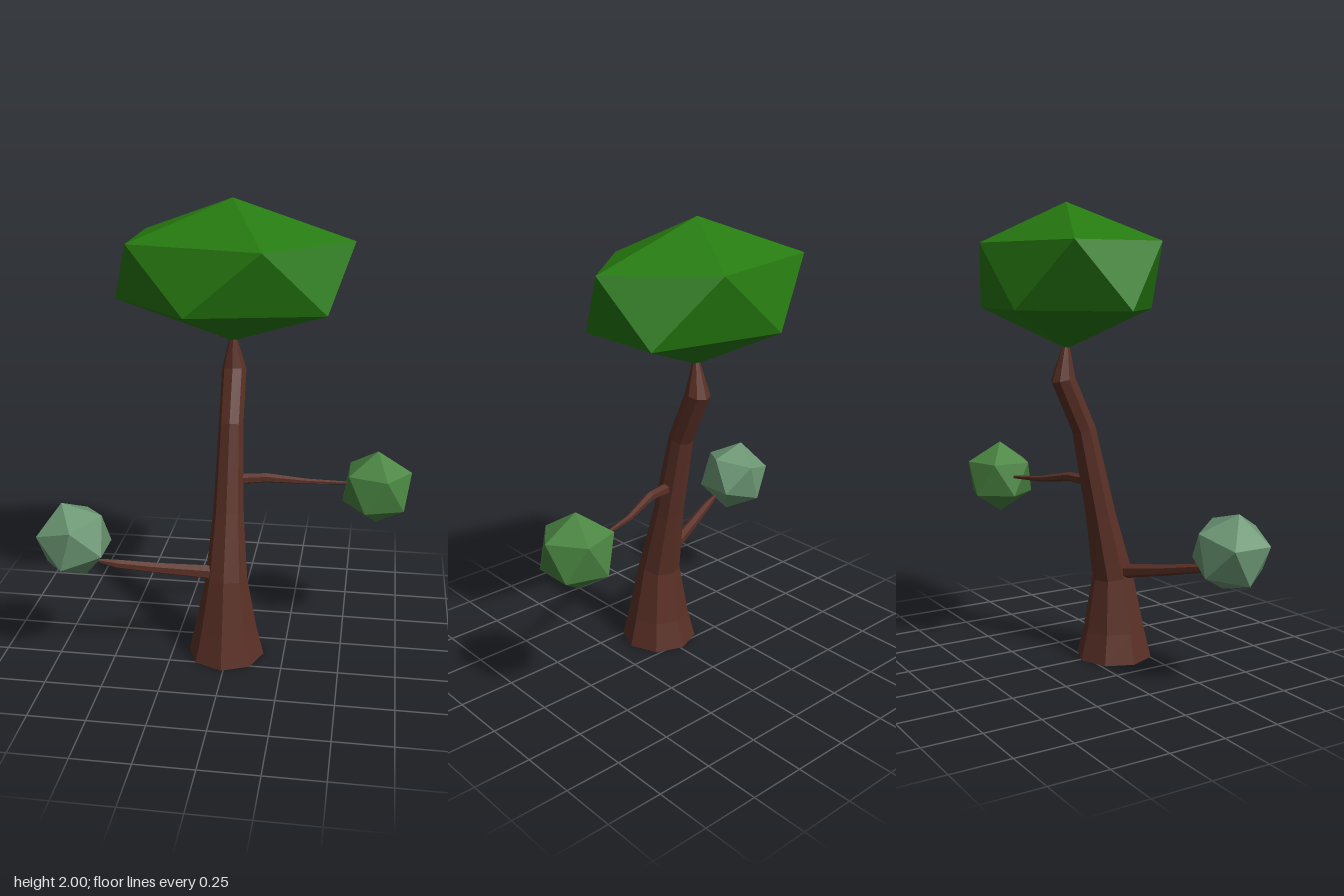
import * as THREE from 'three';

function material(name, color) {
  const m = new THREE.MeshStandardMaterial({ color, flatShading: true });
  m.name = name;
  return m;
}

// Tapering limb: polygon rings set square to a path of [x, y, z, radius], capped at both ends
function limbGeometry(path, sides, side) {
  const points = path.map(([x, y, z]) => new THREE.Vector3(x, y, z));
  const last = path.length - 1;
  const positions = [];
  const index = [];
  path.forEach(([, , , r], i) => {
    const t = points[Math.min(i + 1, last)].clone().sub(points[Math.max(i - 1, 0)]).normalize();
    const u = side.clone().addScaledVector(t, -side.dot(t)).normalize();
    const v = t.clone().cross(u);
    for (let k = 0; k < sides; k++) {
      const a = (k / sides) * Math.PI * 2;
      const p = points[i].clone().addScaledVector(u, r * Math.cos(a)).addScaledVector(v, r * Math.sin(a));
      positions.push(p.x, p.y, p.z);
    }
  });
  for (let i = 0; i < last; i++) {
    for (let k = 0; k < sides; k++) {
      const n = (k + 1) % sides;
      const a = i * sides + k, b = i * sides + n;
      index.push(a, b, b + sides, a, b + sides, a + sides);
    }
  }
  for (let k = 1; k < sides - 1; k++) {
    const e = last * sides;
    index.push(0, k + 1, k, e, e + k, e + k + 1);
  }
  const g = new THREE.BufferGeometry();
  g.setAttribute('position', new THREE.Float32BufferAttribute(positions, 3));
  g.setIndex(index);
  const flat = g.toNonIndexed();
  flat.computeVertexNormals();
  return flat;
}

// Icosahedron standing on a corner, with one upper corner towards +x
function foliageGeometry(sx, sy, sz) {
  const g = new THREE.IcosahedronGeometry(1, 0);
  g.rotateZ(-Math.atan(2 / (1 + Math.sqrt(5))));
  g.scale(sx, sy, sz);
  g.computeVertexNormals();
  return g;
}

export function createModel() {
  const tree = new THREE.Group();
  tree.name = 'tree';

  const bark = material('bark brown', 0x5a3026);
  const deepGreen = material('deep green', 0x267a10);
  const midGreen = material('mid green', 0x4a8541);
  const paleGreen = material('pale green', 0x6b9673);

  const add = (name, geometry, mat, x = 0, y = 0, z = 0) => {
    const mesh = new THREE.Mesh(geometry, mat);
    mesh.name = name;
    mesh.position.set(x, y, z);
    tree.add(mesh);
    return mesh;
  };

  // Leaning eight-sided trunk
  add('trunk', limbGeometry([
    [-0.01, 0, 0.135, 0.17],
    [-0.01, 0.13, 0.135, 0.138],
    [-0.01, 0.37, 0.127, 0.093],
    [-0.01, 0.66, 0.063, 0.068],
    [-0.01, 1.04, -0.022, 0.054],
    [-0.011, 1.262, -0.125, 0.054],
    [-0.013, 1.41, -0.11, 0.014],
  ], 8, new THREE.Vector3(1, 0, 0)), bark);

  // Side branches
  const up = new THREE.Vector3(0, 1, 0);
  add('leftBranch', limbGeometry([
    [0, 0.8, 0.03, 0.026],
    [0.15, 0.804, 0, 0.021],
    [0.32, 0.772, -0.06, 0.013],
    [0.53, 0.754, -0.11, 0.006],
  ], 6, up), bark);
  add('rightBranch', limbGeometry([
    [-0.03, 0.39, 0.13, 0.034],
    [-0.3, 0.445, 0.228, 0.024],
    [-0.47, 0.485, 0.29, 0.019],
    [-0.545, 0.506, 0.31, 0.007],
  ], 6, up), bark);

  // Foliage
  add('crown', foliageGeometry(0.576, 0.305, 0.382), deepGreen, -0.015, 1.695, -0.11);
  add('leftFoliage', foliageGeometry(0.169, 0.169, 0.169), midGreen, 0.632, 0.742, -0.112);
  add('rightFoliage', foliageGeometry(0.171, 0.171, 0.171), paleGreen, -0.648, 0.593, 0.29).rotation.z = 0.285;

  return tree;
}
